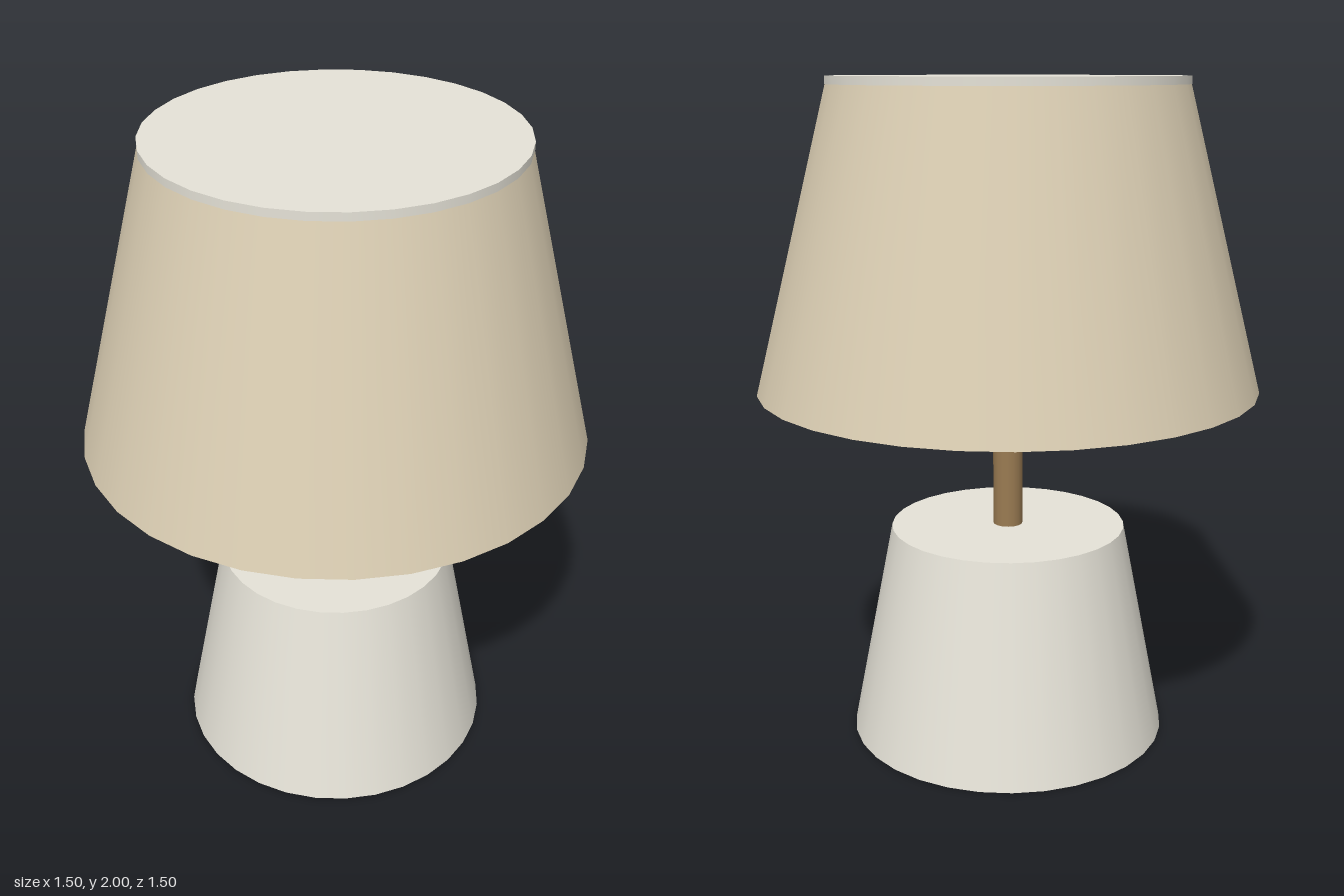
import * as THREE from 'three';

const SIDES = 32;

export function createModel() {
  const lamp = new THREE.Group();
  lamp.name = 'tableLamp';

  const ceramic = new THREE.MeshStandardMaterial({ color: 0xe6e3d8 });
  const wood = new THREE.MeshStandardMaterial({ color: 0x9a7b52 });
  const fabric = new THREE.MeshStandardMaterial({ color: 0xdccfb4 });

  // Closed round part running from y0 to y1
  function addRound(name, bottomRadius, topRadius, y0, y1, material, sides = SIDES) {
    const geometry = new THREE.CylinderGeometry(topRadius, bottomRadius, y1 - y0, sides);
    const mesh = new THREE.Mesh(geometry, material);
    mesh.name = name;
    mesh.position.y = (y0 + y1) / 2;
    lamp.add(mesh);
  }

  // Tapered foot
  addRound('base', 0.487, 0.358, 0, 0.655, ceramic);
  // Slim post between base and shade
  addRound('stem', 0.045, 0.045, 0.65, 1.12, wood, 16);
  // Conical shade
  addRound('shade', 0.748, 0.52, 1.097, 1.985, fabric);
  // Thin disc closing the shade
  addRound('topCap', 0.523, 0.523, 1.977, 2, ceramic);

  return lamp;
}
